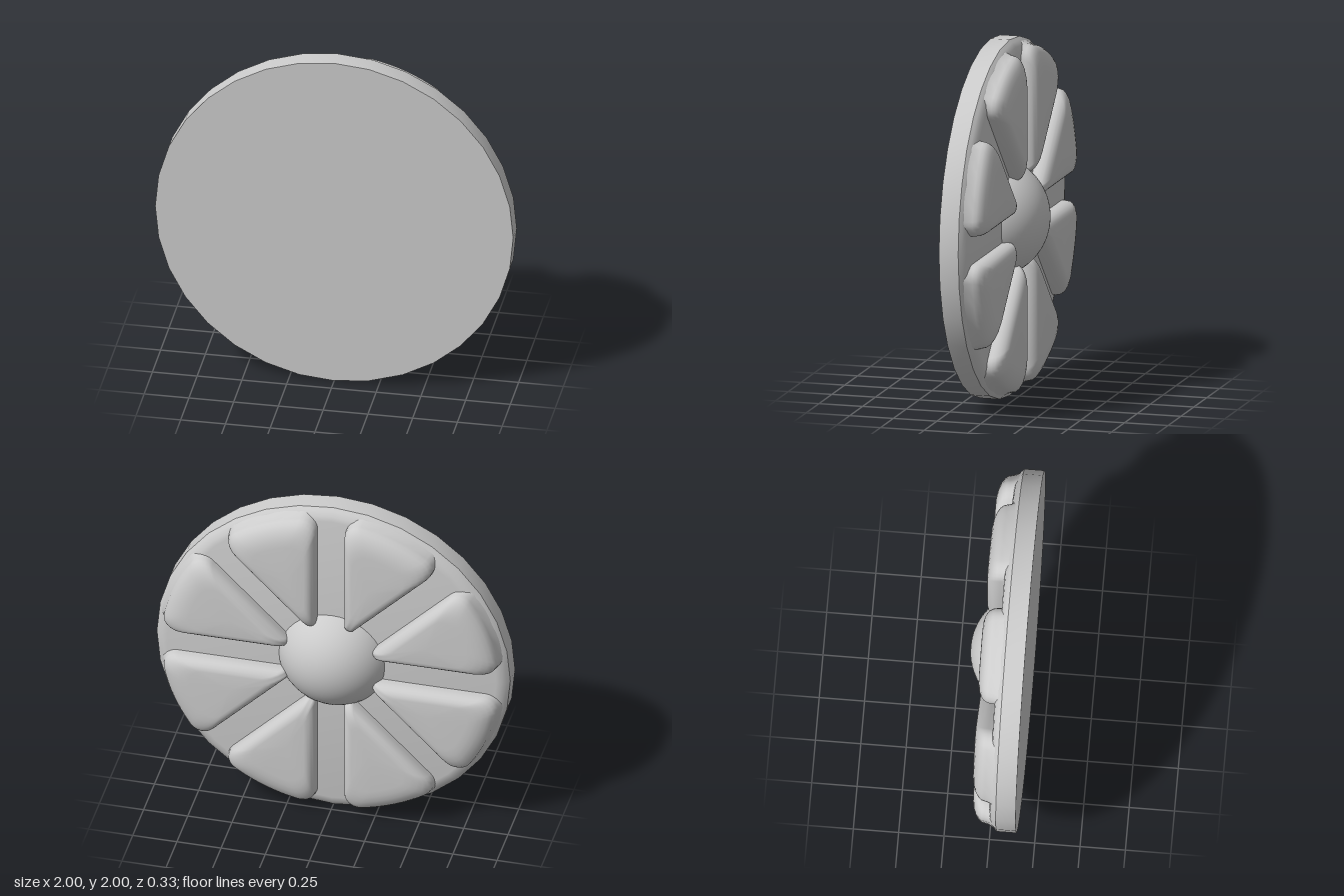
import * as THREE from 'three';
import { toCreasedNormals } from 'three/addons/utils/BufferGeometryUtils.js';

const HALF = Math.PI / 8; // half the angle between two grooves
const GROOVE = 0.08;      // half width of a groove

// Rounded wedge outline: straight sides inset from the groove rays, arc outside
function wedgeOutline(outer, inset, height) {
  const pts = [];
  const rc = 0.08, rt = 0.03;
  const side = HALF + Math.PI / 2;
  const a = HALF - Math.asin((GROOVE + inset + rc) / (outer - rc));
  const arc = (cx, cz, r, from, to, n) => {
    for (let i = 0; i <= n; i++) {
      const t = from + (to - from) * i / n;
      pts.push(new THREE.Vector3(cx + r * Math.cos(t), height, cz + r * Math.sin(t)));
    }
  };
  const cx = (outer - rc) * Math.cos(a), cz = (outer - rc) * Math.sin(a);
  arc(cx, -cz, rc, -side, -a, 6);
  arc(0, 0, outer, -a * 0.75, a * 0.75, 6);
  arc(cx, cz, rc, a, side, 6);
  arc((GROOVE + inset + rt) / Math.sin(HALF), 0, rt, side, 2 * Math.PI - side, 8);
  return pts;
}

// Pad skinned through its outlines, closed by a flat top
function padGeometry() {
  const rings = [[0.98, 0, -0.04], [0.965, 0, -0.01]];
  for (let i = 0; i <= 6; i++) {
    const t = i / 6 * Math.PI / 2;
    rings.push([0.82 + 0.14 * Math.cos(t), 0.055 * (1 - Math.cos(t)), 0.01 + 0.075 * Math.sin(t)]);
  }
  const loops = rings.map(r => wedgeOutline(...r));
  const n = loops[0].length;
  const pts = loops.flat();
  const index = [];
  for (let k = 0; k < loops.length - 1; k++) {
    for (let i = 0; i < n; i++) {
      const a = k * n + i, b = k * n + (i + 1) % n;
      index.push(a, a + n, b, b, a + n, b + n);
    }
  }
  const last = (loops.length - 1) * n;
  const centre = pts.push(new THREE.Vector3(0.6, 0.085, 0)) - 1;
  for (let i = 0; i < n; i++) index.push(centre, last + (i + 1) % n, last + i);
  const g = new THREE.BufferGeometry().setFromPoints(pts);
  g.setIndex(index);
  return toCreasedNormals(g, 0.7);
}

export function createModel() {
  const model = new THREE.Group();
  model.name = 'paddedDisc';
  const material = new THREE.MeshStandardMaterial({ color: 0xcccccc });

  // Built lying flat, then stood up with the padded side facing back
  const disc = new THREE.Group();
  disc.name = 'disc';
  disc.rotation.x = -Math.PI / 2;
  disc.position.y = 1;
  model.add(disc);

  const add = (name, geometry) => {
    const mesh = new THREE.Mesh(geometry, material);
    mesh.name = name;
    disc.add(mesh);
    return mesh;
  };

  // Base plate with a flat front, bevelled rim and groove floor
  const profile = [[0, -0.165], [1, -0.165], [1, -0.055], [0.985, -0.04],
    [0.96, -0.02], [0.93, -0.014], [0, -0.014]].map(p => new THREE.Vector2(...p));
  add('basePlate', toCreasedNormals(new THREE.LatheGeometry(profile, 32), 0.6));

  // Central dome
  const dome = add('centreDome', new THREE.SphereGeometry(0.34, 40, 14, 0, Math.PI * 2, 0, 1.1));
  dome.position.y = -0.175;

  // Eight raised pads between the grooves
  const pad = padGeometry();
  for (let i = 0; i < 8; i++) add('pad' + (i + 1), pad).rotation.y = HALF + i * Math.PI / 4;

  return model;
}
